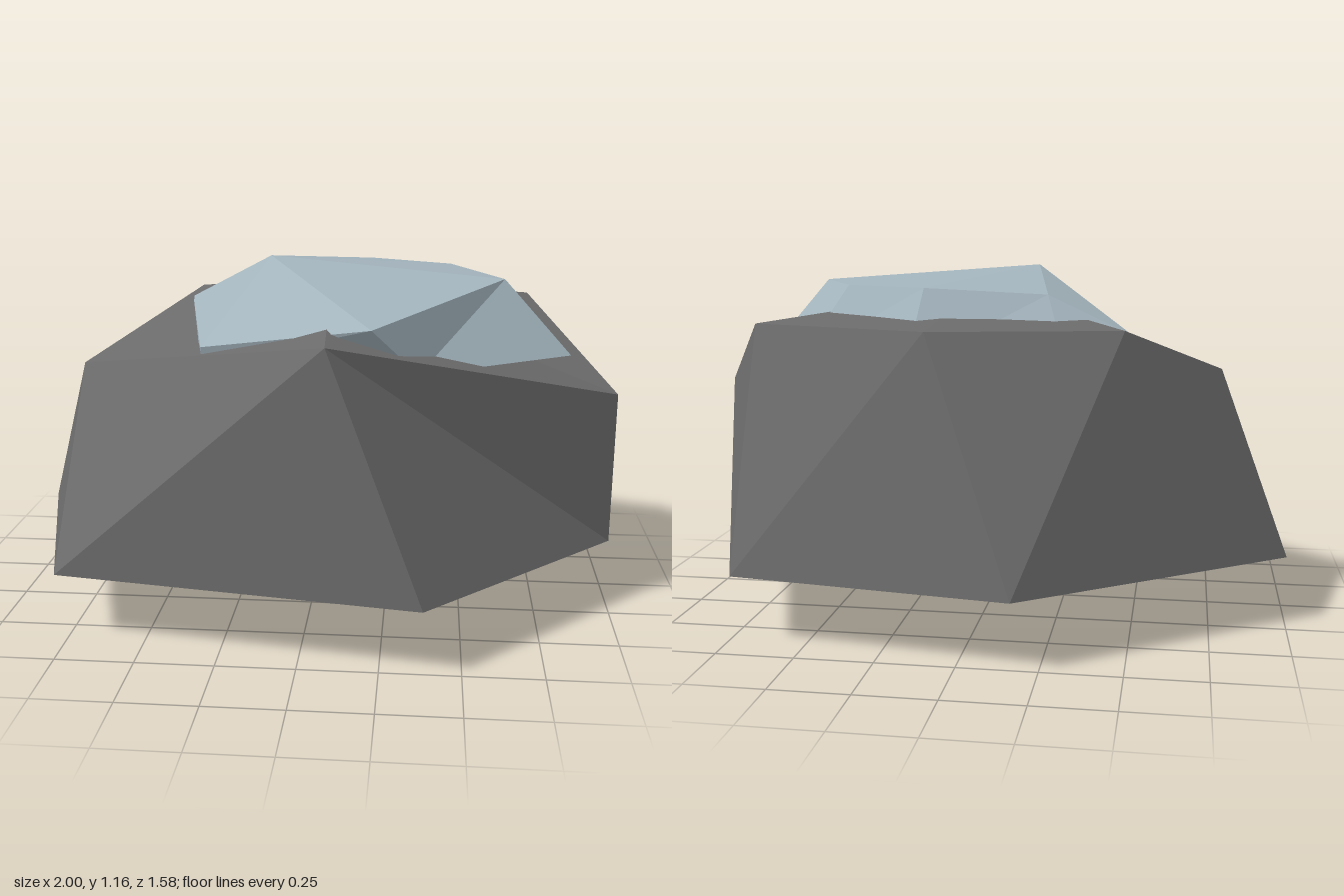
import * as THREE from 'three';

// Faceted stone: bottom point, lower ring, upper ring, top point.
// Rings run clockwise seen from above; "flipped" lists side panels split the other way.
function facetedStone(name, color, bottom, lower, upper, top, flipped = []) {
  const points = [];
  const tri = (...corners) => corners.forEach((c) => points.push(...c));
  const n = lower.length;
  for (let i = 0; i < n; i++) {
    const j = (i + 1) % n;
    tri(bottom, lower[i], lower[j]);
    if (flipped.includes(i)) {
      tri(lower[j], lower[i], upper[j]);
      tri(lower[i], upper[i], upper[j]);
    } else {
      tri(lower[j], lower[i], upper[i]);
      tri(lower[j], upper[i], upper[j]);
    }
    tri(top, upper[j], upper[i]);
  }
  const geometry = new THREE.BufferGeometry();
  geometry.setAttribute('position', new THREE.Float32BufferAttribute(points, 3));
  geometry.computeVertexNormals();
  const mesh = new THREE.Mesh(
    geometry,
    new THREE.MeshStandardMaterial({ color, flatShading: true })
  );
  mesh.name = name;
  return mesh;
}

// Places flat [x, z] outline points at one height
const atHeight = (y, outline) => outline.map(([x, z]) => [x, y, z]);

export function createModel() {
  const model = new THREE.Group();
  model.name = 'snowCappedRock';

  // Boulder with a shallow pointed underside
  model.add(facetedStone(
    'rock', 0x6b6b6b,
    [0.2, 0, -0.01],
    atHeight(0.22, [[-1, -0.17], [-0.17, -0.79], [0.73, -0.66], [1, 0.15], [0.38, 0.79], [-0.78, 0.61]]),
    [[-0.47, 0.98, -0.42], [0.13, 0.98, -0.55], [0.73, 0.98, -0.35],
      [1, 0.73, 0.15], [0.08, 0.98, 0.68], [-0.78, 0.8, 0.14]],
    [0.05, 1.08, 0],
    [2, 3]
  ));

  // Pale cap sunk into the top of the boulder
  model.add(facetedStone(
    'snowCap', 0xa3b4bd,
    [0.2, 0.86, 0],
    atHeight(0.86, [[-0.5, -0.32], [-0.3, -0.46], [0.2, -0.5], [0.6, -0.3], [0.84, 0.16], [0.35, 0.48], [-0.33, 0.4]]),
    [[-0.49, 0.955, -0.31], [-0.22, 1.08, -0.3], [0.17, 1.1, -0.35], [0.45, 1.1, -0.22],
      [0.62, 1.1, 0.12], [0.21, 1.015, 0.59], [-0.33, 0.92, 0.42]],
    [-0.15, 1.16, 0.06]
  ));

  return model;
}
